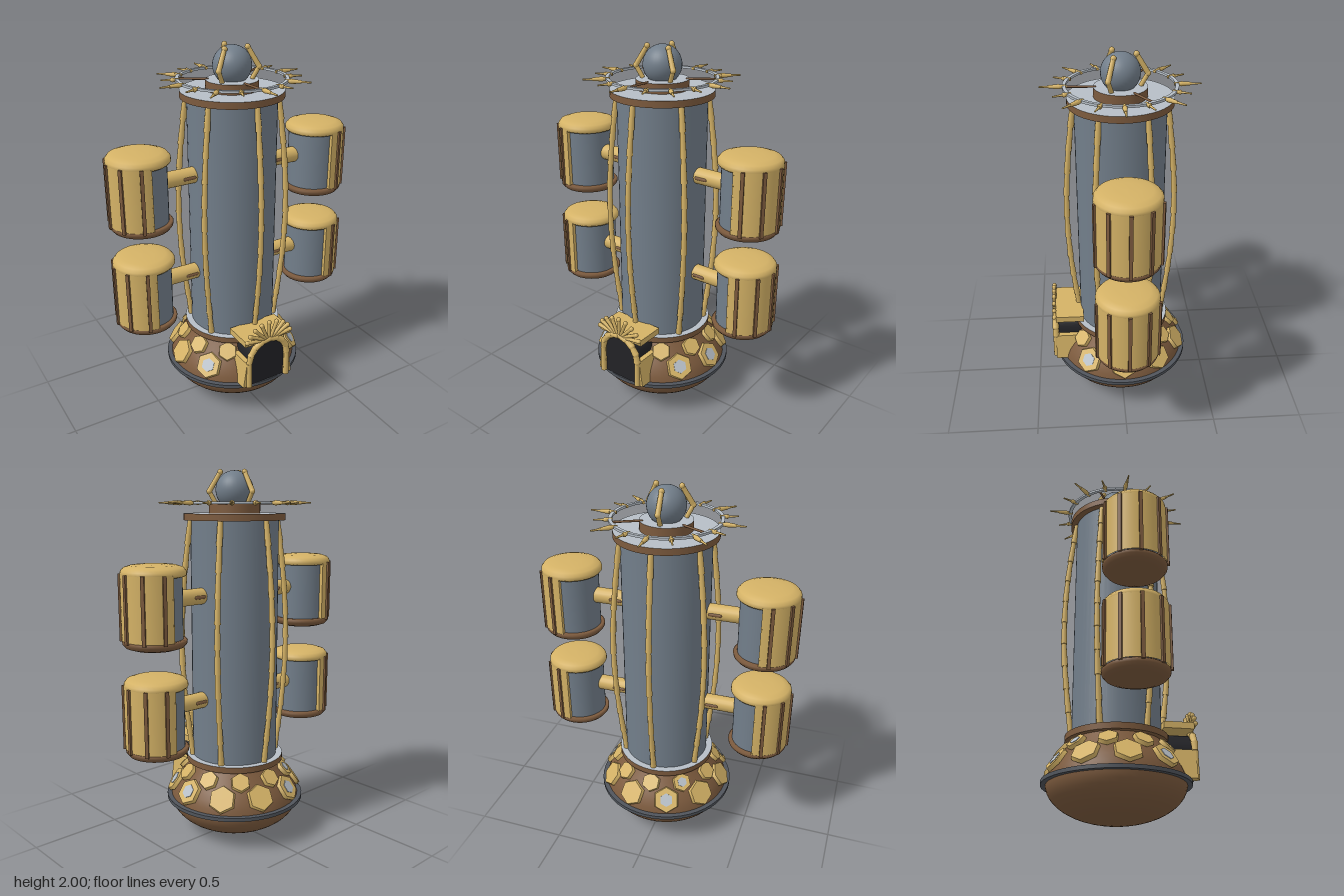
import * as THREE from 'three';

const mat = (color) => new THREE.MeshStandardMaterial({ color, side: THREE.DoubleSide });
const gold = mat(0xd4b266), brown = mat(0x7d5b3e), steel = mat(0x727e8a);
const pale = mat(0xb6bec6), iron = mat(0x50555c), dark = mat(0x222226);
const V = (x, y, z) => new THREE.Vector3(x, y, z);
const TAU = Math.PI * 2;

function add(parent, name, geo, material, x = 0, y = 0, z = 0) {
  const m = new THREE.Mesh(geo, material);
  m.name = name;
  m.position.set(x, y, z);
  parent.add(m);
  return m;
}

// Round bar from a to b
function rod(parent, name, a, b, r0, r1, material, sides = 10) {
  const d = b.clone().sub(a);
  const m = add(parent, name, new THREE.CylinderGeometry(r1, r0, d.length(), sides), material);
  m.position.copy(a).addScaledVector(d, 0.5);
  m.quaternion.setFromUnitVectors(V(0, 1, 0), d.normalize());
  return m;
}

const lathe = (pts, seg = 48) => new THREE.LatheGeometry(pts.map(p => new THREE.Vector2(...p)), seg);

// Disc with brown side and underside, pale top
function disc(parent, name, r, y0, y1) {
  add(parent, name, new THREE.CylinderGeometry(r, r, y1 - y0, 48), [brown, pale, brown], 0, (y0 + y1) / 2, 0);
}

// Group turned about y so that its local +z points along angle a (0 = front, 90 deg = +x)
function turned(parent, name, a) {
  const g = new THREE.Group();
  g.name = name;
  g.rotation.y = a;
  parent.add(g);
  return g;
}

function addBase(root) {
  const bowl = [], n = 14;
  for (let i = 0; i <= n; i++) {
    const t = (i / n) * Math.PI / 2;
    bowl.push([0.36 * Math.sin(t), 0.2 - 0.195 * Math.cos(t)]);
  }
  add(root, 'bowl', lathe(bowl), brown);
  add(root, 'baseRim', new THREE.CylinderGeometry(0.385, 0.385, 0.02, 48), iron, 0, 0.202, 0);
  add(root, 'baseDome', lathe([[0.36, 0.21], [0.353, 0.24], [0.338, 0.275], [0.315, 0.31], [0.285, 0.35], [0.255, 0.39], [0.235, 0.42]]), brown);

  // Two staggered rows of hexagonal plates, some with windows
  const plate = (deg, r, y, tilt, size, window) => {
    const g = turned(root, 'hexPlate', THREE.MathUtils.degToRad(deg));
    const p = new THREE.Group();
    p.position.set(0, y, r);
    p.rotation.x = Math.PI / 2 - tilt;
    g.add(p);
    add(p, 'plate', new THREE.CylinderGeometry(size * 0.93, size, 0.022, 6).toNonIndexed(), gold);
    if (window) add(p, 'windowPane', new THREE.CylinderGeometry(size * 0.5, size * 0.5, 0.012, 6), pale, 0, 0.008, 0);
  };
  for (let i = 0; i < 10; i++) {
    const low = 90 + i * 36, high = low + 18;
    if (low % 360 !== 18 && low % 360 !== 342) plate(low, 0.332, 0.292, 0.62, 0.076, [54, 90, 198, 306].includes(low % 360));
    if (high % 360 !== 0) plate(high, 0.282, 0.368, 0.75, 0.055, high % 360 === 216);
  }
}

function addDoor(root) {
  const door = new THREE.Group();
  door.name = 'doorway';
  root.add(door);
  const arch = new THREE.Shape();
  arch.moveTo(-0.108, 0.215);
  arch.lineTo(0.108, 0.215);
  arch.lineTo(0.108, 0.365);
  arch.absarc(0, 0.365, 0.108, 0, Math.PI, false);
  const tunnel = new THREE.ExtrudeGeometry(arch, { depth: 0.17, bevelEnabled: false, curveSegments: 20 });
  add(door, 'tunnel', tunnel, dark, 0, 0, 0.21);
  add(door, 'porchRoof', new THREE.BoxGeometry(0.29, 0.035, 0.16), gold, 0, 0.49, 0.3);
  for (const s of [-1, 1]) {
    // Side wall, flared towards the ground
    const wall = new THREE.Shape([[0.105, 0.215], [0.158, 0.215], [0.136, 0.365], [0.105, 0.365]].map(p => new THREE.Vector2(p[0] * s, p[1])));
    add(door, 'sideWall', new THREE.ExtrudeGeometry(wall, { depth: 0.17, bevelEnabled: false }), gold, 0, 0, 0.215);
    rod(door, 'doorPost', V(0.122 * s, 0.215, 0.385), V(0.122 * s, 0.365, 0.385), 0.018, 0.016, gold);
  }
  // Jointed arch
  const n = 8;
  for (let i = 0; i < n; i++) {
    const p = [i, i + 1].map(k => V(0.122 * Math.cos(k / n * Math.PI), 0.365 + 0.122 * Math.sin(k / n * Math.PI), 0.385));
    rod(door, 'archSegment', p[0], p[1], 0.019, 0.016, gold);
    add(door, 'archJoint', new THREE.SphereGeometry(0.019, 10, 8), gold, p[0].x, p[0].y, p[0].z);
  }
  // Fan of ball-tipped rods
  for (let i = 0; i < 9; i++) {
    const a = (0.06 + 0.88 * i / 8) * Math.PI;
    const tip = V(0.14 * Math.cos(a), 0.485 + 0.105 * Math.sin(a), 0.388);
    rod(door, 'fanRod', V(0.02 * Math.cos(a), 0.485, 0.388), tip, 0.008, 0.011, gold);
    add(door, 'fanTip', new THREE.SphereGeometry(0.013, 10, 8), gold, tip.x, tip.y, tip.z);
  }
}

function addTower(root) {
  add(root, 'towerBody', new THREE.CylinderGeometry(0.235, 0.235, 1.32, 48), steel, 0, 1.09, 0);
  disc(root, 'lowerCollar', 0.27, 0.415, 0.448);
  disc(root, 'upperCollar', 0.27, 1.74, 1.775);
  // Six bowed ribs of jointed segments
  const n = 10, y0 = 0.44, y1 = 1.745;
  const at = (k) => V(0, y0 + (y1 - y0) * k / n, 0.237 + 0.055 * Math.sin(Math.PI * k / n));
  for (let i = 0; i < 6; i++) {
    const rib = turned(root, 'rib', i * TAU / 6);
    for (let k = 0; k < n; k++) rod(rib, 'ribSegment', at(k), at(k + 1), 0.017, 0.013, gold);
  }
}

function addPod(root, side, y) {
  const pod = new THREE.Group();
  pod.name = side > 0 ? 'leftPod' : 'rightPod';
  pod.position.set(0.537 * side, y, 0);
  pod.rotation.y = side > 0 ? 0 : Math.PI;
  root.add(pod);
  add(pod, 'podBody', new THREE.CylinderGeometry(0.142, 0.142, 0.34, 40), steel);
  add(pod, 'podCap', lathe([[0, 0.15], [0.155, 0.15], [0.163, 0.16], [0.161, 0.177], [0.148, 0.193], [0.115, 0.204], [0.06, 0.209], [0, 0.21]], 40), gold);
  add(pod, 'podFoot', lathe([[0, -0.215], [0.06, -0.214], [0.115, -0.209], [0.148, -0.198], [0.161, -0.182], [0.163, -0.168], [0.155, -0.16], [0, -0.16]], 40), brown);
  // Outer half shell with upright battens
  add(pod, 'podShell', new THREE.CylinderGeometry(0.163, 0.163, 0.325, 32, 1, true, 0, Math.PI), gold);
  for (const s of [-1, 1]) add(pod, 'shellEdge', new THREE.BoxGeometry(0.006, 0.325, 0.022), gold, 0.003, 0, 0.152 * s);
  for (let i = -2; i <= 2; i++) {
    const g = turned(pod, 'batten', Math.PI / 2 + i * Math.PI / 5);
    add(g, 'battenBar', new THREE.BoxGeometry(0.018, 0.335, 0.016), brown, 0, -0.003, 0.165);
  }
  // Arm to the tower, with slots
  rod(pod, 'arm', V(-0.32, 0.025, 0), V(-0.13, 0.025, 0), 0.043, 0.043, gold, 20);
  for (const s of [-1, 1]) {
    const slot = add(pod, 'armSlot', new THREE.CapsuleGeometry(0.01, 0.055, 4, 10), brown, -0.262, 0.025, 0.038 * s);
    slot.rotation.z = Math.PI / 2;
  }
}

function addCrown(root) {
  disc(root, 'hub', 0.136, 1.775, 1.825);
  const ring = lathe([[0.27, 1.823], [0.288, 1.823], [0.288, 1.835], [0.27, 1.835], [0.27, 1.823]], 64).toNonIndexed();
  ring.computeVertexNormals();
  add(root, 'crownRing', ring, pale);
  for (let i = 0; i < 3; i++) {
    const g = turned(root, 'spokeArm', i * TAU / 3);
    rod(g, 'spoke', V(0, 1.825, 0.12), V(0, 1.828, 0.275), 0.006, 0.006, brown);
  }
  // Spikes, alternately long and short
  for (let i = 0; i < 16; i++) {
    const g = turned(root, 'spike', i * TAU / 16), end = i % 2 ? 0.36 : 0.402;
    rod(g, 'spikeSocket', V(0, 1.829, 0.265), V(0, 1.829, 0.3), 0.008, 0.011, gold);
    rod(g, 'spikeCone', V(0, 1.829, 0.3), V(0, 1.829, end - 0.05), 0.013, 0.008, gold);
    rod(g, 'spikePoint', V(0, 1.829, end - 0.05), V(0, 1.829, end), 0.006, 0.004, gold);
  }
  // Orb held by three bent claws
  add(root, 'orb', new THREE.SphereGeometry(0.1, 32, 24), steel, 0, 1.895, 0);
  for (let i = 0; i < 3; i++) {
    const g = turned(root, 'claw', Math.PI + i * TAU / 3);
    const p = [V(0, 1.825, 0.1), V(0, 1.887, 0.135), V(0, 1.985, 0.077)];
    rod(g, 'clawLower', p[0], p[1], 0.012, 0.012, gold);
    rod(g, 'clawUpper', p[1], p[2], 0.014, 0.012, gold);
    for (const q of p.slice(1)) add(g, 'clawJoint', new THREE.SphereGeometry(0.015, 12, 8), gold, q.x, q.y, q.z);
  }
}

export function createModel() {
  const root = new THREE.Group();
  root.name = 'tower';
  addBase(root);
  addDoor(root);
  addTower(root);
  for (const side of [-1, 1]) for (const y of [0.77, 1.33]) addPod(root, side, y);
  addCrown(root);
  return root;
}
